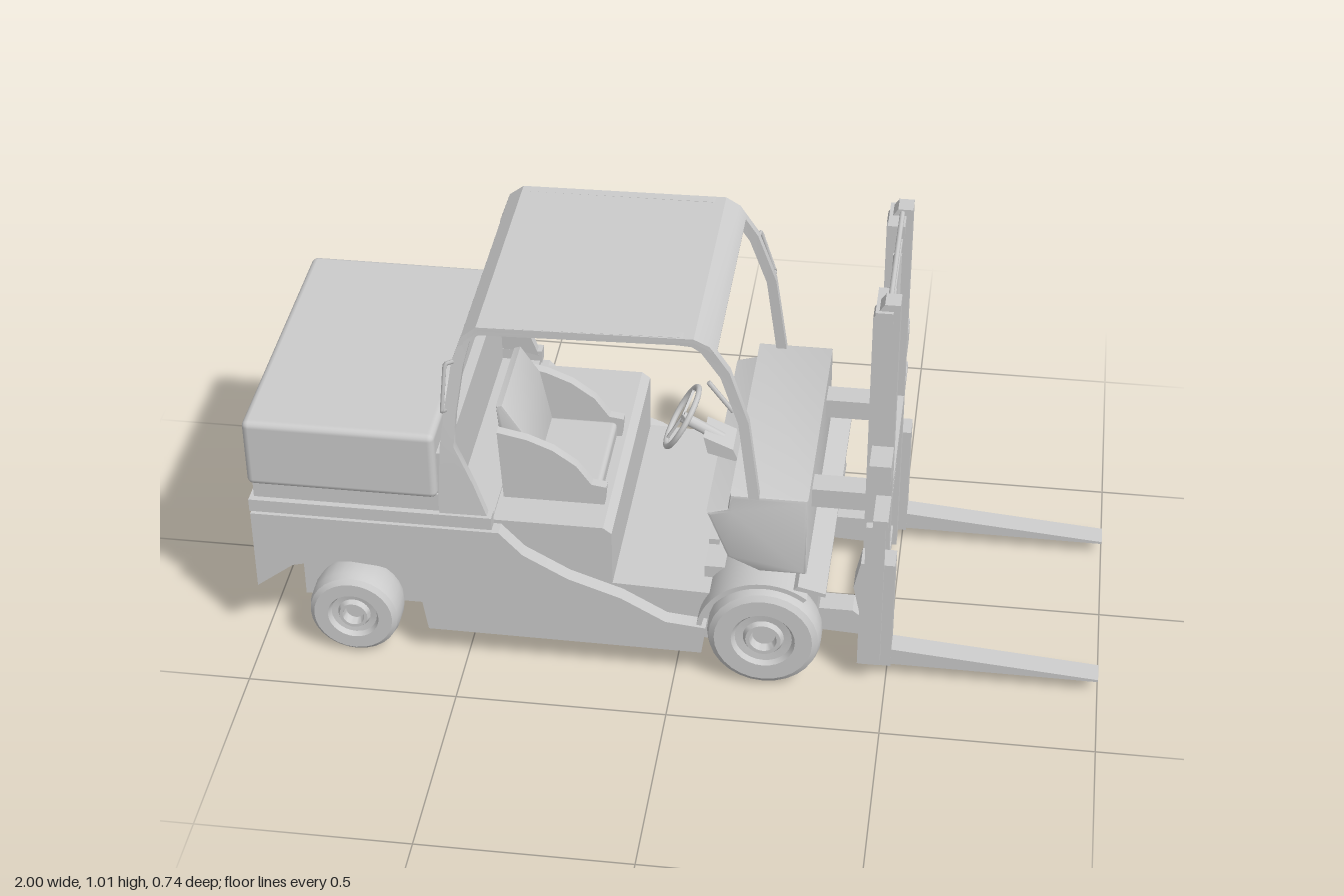
import * as THREE from 'three';
import { toCreasedNormals } from 'three/addons/utils/BufferGeometryUtils.js';
import { RoundedBoxGeometry } from 'three/addons/geometries/RoundedBoxGeometry.js';

const mat = new THREE.MeshStandardMaterial({ color: 0xcccccc });
const thin = new THREE.MeshStandardMaterial({ color: 0xcccccc, side: THREE.DoubleSide });

export function createModel() {
  const model = new THREE.Group();

  const add = (name, geo, material = mat) => {
    const mesh = new THREE.Mesh(geo, material);
    mesh.name = name;
    model.add(mesh);
    return mesh;
  };
  // the same part on both sides of the truck
  const pair = (name, make) => {
    for (const side of [1, -1]) {
      const mesh = make(name + (side > 0 ? 'Front' : 'Back'));
      if (side < 0) {
        mesh.position.z *= -1;
        mesh.scale.z = -1;
      }
    }
  };
  // box from its limits
  const box = (name, x0, x1, y0, y1, z0, z1, r = 0) => {
    const s = [x1 - x0, y1 - y0, z1 - z0];
    const mesh = add(name, r ? new RoundedBoxGeometry(...s, 2, r) : new THREE.BoxGeometry(...s));
    mesh.position.set((x0 + x1) / 2, (y0 + y1) / 2, (z0 + z1) / 2);
    return mesh;
  };
  const toShape = (pts) => new THREE.Shape(pts.map(([x, y]) => new THREE.Vector2(x, y)));
  // side profile extruded between two z limits
  const slab = (name, shape, z0, z1, bevel = 0) => {
    const geo = new THREE.ExtrudeGeometry(Array.isArray(shape) ? toShape(shape) : shape, {
      depth: z1 - z0 - 2 * bevel, curveSegments: 16,
      bevelEnabled: bevel > 0, bevelSize: bevel, bevelThickness: bevel, bevelOffset: -bevel, bevelSegments: 2,
    });
    geo.translate(0, 0, z0 + bevel);
    return add(name, toCreasedNormals(geo, 0.6));
  };
  // round rod between two points
  const rod = (name, a, b, r, sides = 10) => {
    const p = new THREE.Vector3(...a), q = new THREE.Vector3(...b);
    const mesh = add(name, new THREE.CylinderGeometry(r, r, p.distanceTo(q), sides));
    mesh.position.copy(p).add(q).multiplyScalar(0.5);
    mesh.quaternion.setFromUnitVectors(new THREE.Vector3(0, 1, 0), q.sub(p).normalize());
    return mesh;
  };
  // rod bent through several points
  const bent = (name, pts, r) => {
    const path = new THREE.CurvePath();
    const v = pts.map((p) => new THREE.Vector3(...p));
    for (let i = 1; i < v.length; i++) path.add(new THREE.LineCurve3(v[i - 1], v[i]));
    return add(name, new THREE.TubeGeometry(path, 24, r, 6));
  };
  // skin over four-cornered cross-sections
  const loft = (name, loops) => {
    const pos = [], idx = [];
    loops.forEach((l) => l.forEach((p) => pos.push(...p)));
    for (let i = 0; i < loops.length - 1; i++) {
      for (let j = 0; j < 4; j++) {
        const a = i * 4 + j, b = i * 4 + ((j + 1) % 4);
        idx.push(a, b, a + 4, b, b + 4, a + 4);
      }
    }
    const e = (loops.length - 1) * 4;
    idx.push(0, 2, 1, 0, 3, 2, e, e + 1, e + 2, e, e + 2, e + 3);
    const geo = new THREE.BufferGeometry();
    geo.setAttribute('position', new THREE.Float32BufferAttribute(pos, 3));
    geo.setIndex(idx);
    return add(name, toCreasedNormals(geo, 0.5), thin);
  };

  // lower body with rear wheel arch and swept step opening
  slab('body', [[-1, 0.18], [-0.91, 0.25], [-0.84, 0.268], [-0.77, 0.275], [-0.7, 0.268], [-0.64, 0.25], [-0.605, 0.19],
    [-0.59, 0.09], [0.065, 0.085], [0.075, 0.16], [-0.02, 0.17], [-0.125, 0.23], [-0.25, 0.275], [-0.355, 0.335],
    [-0.41, 0.395], [-1, 0.395]], -0.357, 0.357);
  slab('cabFloor', [[-0.56, 0.15], [0.1, 0.1], [0.1, 0.237], [-0.15, 0.245], [-0.15, 0.39], [-0.17, 0.405], [-0.56, 0.405]], -0.32, 0.32);
  box('rearChassis', -0.915, -0.58, 0.08, 0.3, -0.25, 0.25);
  box('frontChassis', 0.06, 0.33, 0.085, 0.27, -0.26, 0.26);
  box('bodyGroove', -0.99, -0.43, 0.39, 0.41, -0.345, 0.345);
  box('bodyStrip', -1, -0.545, 0.405, 0.438, -0.36, 0.36);
  pair('stripEnd', (n) => box(n, -0.55, -0.425, 0.405, 0.438, 0.33, 0.36));
  box('hoodBase', -0.99, -0.55, 0.43, 0.485, -0.345, 0.345);
  box('counterweightHood', -1, -0.55, 0.48, 0.658, -0.36, 0.36, 0.016);
  box('bulkhead', -0.555, -0.525, 0.4, 0.6, -0.34, 0.34);

  // wheels turned from a tyre and dished rim profile
  const wheel = (name, x, r, w, zOut) => {
    const h = w / 2;
    const pts = [[0, -h * 0.8], [r * 0.85, -h], [r * 0.96, -h * 0.8], [r, -h * 0.4], [r, h * 0.4], [r * 0.96, h * 0.8],
      [r * 0.86, h], [r * 0.56, h], [r * 0.5, h * 0.75], [r * 0.36, h * 0.7], [r * 0.31, h * 0.95], [r * 0.24, h * 0.95],
      [r * 0.2, h * 0.5], [0, h * 0.5]];
    const geo = new THREE.LatheGeometry(pts.map(([a, b]) => new THREE.Vector2(a, b)), 28);
    geo.rotateX(Math.PI / 2);
    const mesh = add(name, toCreasedNormals(geo, 0.5));
    mesh.position.set(x, r, zOut - h);
    return mesh;
  };
  pair('rearWheel', (n) => {
    const m = wheel(n, -0.77, 0.11, 0.1, 0.37);
    m.position.y = 0.118;
    return m;
  });
  pair('frontWheel', (n) => {
    const m = wheel(n, 0.212, 0.135, 0.088, 0.37);
    m.position.y = 0.148;
    return m;
  });
  rod('rearAxle', [-0.77, 0.118, -0.3], [-0.77, 0.118, 0.3], 0.03);
  rod('frontAxle', [0.212, 0.148, -0.3], [0.212, 0.148, 0.3], 0.04);

  // rounded cover over the front axle
  const cover = new THREE.Shape();
  cover.absarc(0.212, 0.148, 0.16, 0.9, Math.PI - 0.15, false);
  cover.absarc(0.212, 0.148, 0.148, Math.PI - 0.15, 0.9, true);
  slab('axleCover', cover, -0.36, 0.36);
  slab('coverLip', [[0.28, 0.3], [0.355, 0.285], [0.355, 0.295], [0.29, 0.311]], -0.36, 0.36);

  // dashboard, steering and pedals
  slab('dashboard', [[0.125, 0.525], [0.305, 0.525], [0.305, 0.31], [0.195, 0.31], [0.12, 0.345], [0.07, 0.47], [0.12, 0.485]], -0.315, 0.315, 0.008);
  slab('columnShroud', [[0.04, 0.545], [0.11, 0.515], [0.125, 0.48], [0.05, 0.5]], 0.04, 0.125);
  const steering = new THREE.Group();
  steering.name = 'steeringWheel';
  steering.add(new THREE.Mesh(new THREE.TorusGeometry(0.079, 0.007, 8, 24), mat));
  for (let i = 0; i < 3; i++) {
    const spoke = new THREE.Mesh(new THREE.BoxGeometry(0.008, 0.078, 0.006), mat);
    spoke.geometry.translate(0, 0.039, 0);
    spoke.rotation.z = (i * 2 * Math.PI) / 3 + Math.PI / 3;
    steering.add(spoke);
  }
  steering.position.set(-0.015, 0.57, 0.083);
  steering.lookAt(-0.885, 1.05, 0.083);
  model.add(steering);
  rod('steeringColumn', [-0.015, 0.57, 0.083], [0.08, 0.517, 0.083], 0.014);
  for (const z of [0.02, 0.15]) {
    rod('pedalArm', [0.14, 0.32, z], [0.07, 0.275, z], 0.005, 6);
    box('pedal', 0.06, 0.085, 0.265, 0.285, z - 0.025, z + 0.025);
  }
  rod('shiftLever', [0.09, 0.5, -0.05], [0.03, 0.58, -0.05], 0.006, 6);

  // seat with side bolsters
  box('seatCushion', -0.4, -0.19, 0.405, 0.45, -0.045, 0.205, 0.012);
  slab('seatBack', [[-0.4, 0.43], [-0.345, 0.43], [-0.375, 0.58], [-0.42, 0.65], [-0.435, 0.645], [-0.43, 0.58]], -0.045, 0.205, 0.006);
  for (const z of [-0.07, 0.205]) {
    slab('seatBolster', [[-0.42, 0.405], [-0.18, 0.405], [-0.175, 0.455], [-0.21, 0.46], [-0.245, 0.51], [-0.3, 0.55],
      [-0.36, 0.575], [-0.43, 0.59]], z, z + 0.025);
  }

  // overhead guard: outer and inner edge of each section, then its distance from the middle
  const guard = (name, rows, w) => loft(name, rows.map(([ox, oy, ix, iy, z]) => [[ox, oy, z], [ix, iy, z], [ix, iy, z - w], [ox, oy, z - w]]));
  const rearPost = [[-0.548, 0.435, -0.425, 0.405, 0.353], [-0.546, 0.52, -0.465, 0.52, 0.347], [-0.54, 0.62, -0.508, 0.62, 0.34],
    [-0.53, 0.7, -0.502, 0.7, 0.33], [-0.508, 0.84, -0.482, 0.83, 0.316], [-0.485, 0.905, -0.465, 0.895, 0.309], [-0.45, 0.933, -0.445, 0.912, 0.306]];
  const frontPost = [[0, 0.941, 0, 0.92, 0.3], [0.04, 0.94, 0.035, 0.918, 0.3], [0.075, 0.922, 0.055, 0.905, 0.3],
    [0.12, 0.855, 0.1, 0.84, 0.3], [0.165, 0.725, 0.142, 0.72, 0.307], [0.193, 0.52, 0.168, 0.52, 0.316]];
  pair('guardFrame', (n) => guard(n, [...rearPost, ...frontPost], 0.022));
  const roof = [[-0.5, 0.86], [-0.485, 0.905], [-0.45, 0.933], [0.04, 0.941], [0.075, 0.922], [0.09, 0.9]];
  loft('roof', roof.map(([x, y], i) => {
    const z = 0.313 - i * 0.003;
    return [[x, y, z], [x * 0.985, y - 0.01, z], [x * 0.985, y - 0.01, -z], [x, y, -z]];
  }));

  // grab handles, one on a rear post and one on a front post
  bent('rearGrabHandle', [[-0.505, 0.84, 0.312], [-0.515, 0.858, 0.35], [-0.525, 0.735, 0.362], [-0.525, 0.71, 0.32]], 0.005);
  bent('frontGrabHandle', [[0.115, 0.835, -0.295], [0.12, 0.825, -0.348], [0.155, 0.705, -0.36], [0.15, 0.715, -0.3]], 0.005);

  // mast uprights and lifting gear
  pair('mastUpright', (n) => slab(n, [[0.43, 0.035], [0.49, 0.035], [0.49, 1.017], [0.455, 1.017], [0.43, 0.98]], 0.178, 0.226));
  pair('liftCylinder', (n) => rod(n, [0.46, 0.1, 0.146], [0.46, 0.915, 0.146], 0.011));
  pair('liftRod', (n) => rod(n, [0.46, 0.9, 0.146], [0.46, 0.98, 0.146], 0.006));
  pair('mastHeadBlock', (n) => box(n, 0.435, 0.475, 0.968, 1, 0.13, 0.235));
  for (const y of [0.953, 1.008]) rod('mastTopRod', [0.465, y, -0.19], [0.465, y, 0.19], 0.006, 8);
  pair('mastSideBlock', (n) => box(n, 0.44, 0.49, 0.575, 0.632, 0.226, 0.305));
  for (const [y0, y1] of [[0.345, 0.39], [0.265, 0.29], [0.06, 0.095]]) box('mastCrossbar', 0.44, 0.48, y0, y1, -0.18, 0.18);

  // carriage frame and mast mounts
  box('carriageTopBar', 0.455, 0.49, 0.47, 0.492, -0.325, 0.325);
  pair('carriageSide', (n) => box(n, 0.44, 0.485, 0.065, 0.472, 0.305, 0.325));
  pair('carriageFoot', (n) => box(n, 0.44, 0.485, 0.065, 0.095, 0.22, 0.325));
  pair('tiltArm', (n) => box(n, 0.3, 0.435, 0.432, 0.482, 0.15, 0.21));
  pair('mastMount', (n) => slab(n, [[0.3, 0.13], [0.41, 0.13], [0.435, 0.11], [0.435, 0.06], [0.34, 0.065], [0.3, 0.09]], 0.15, 0.21));

  // forks
  pair('forkShank', (n) => slab(n, [[0.43, 0.04], [0.51, 0.04], [0.51, 0.342], [0.43, 0.342], [0.415, 0.27], [0.43, 0.2]], 0.235, 0.295));
  pair('fork', (n) => slab(n, [[0.5, 0.045], [1, 0.042], [1, 0.048], [0.5, 0.09]], 0.238, 0.293));

  return model;
}
